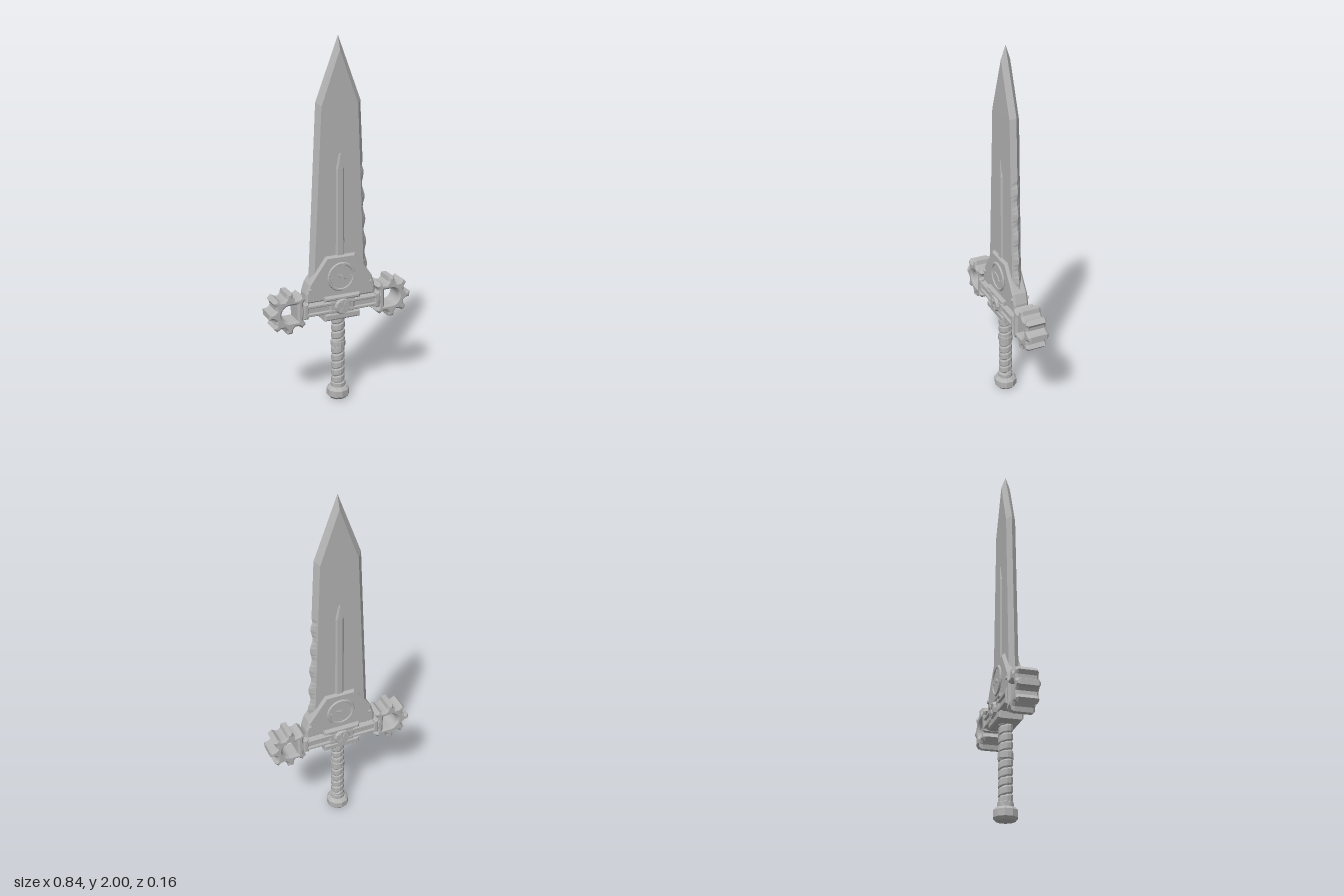
import * as THREE from 'three';

const steel = new THREE.MeshStandardMaterial({ color: 0xb4b4b4 });
steel.name = 'steel grey';
steel.flatShading = true;

function add(parent, name, geometry, x = 0, y = 0, z = 0) {
  const mesh = new THREE.Mesh(geometry, steel);
  mesh.name = name;
  mesh.position.set(x, y, z);
  parent.add(mesh);
  return mesh;
}

// Centred extrusion of a shape with a chamfered rim that keeps the outline size
function slab(shape, depth, chamfer) {
  const g = new THREE.ExtrudeGeometry(shape, {
    depth: depth - 2 * chamfer, bevelEnabled: true, bevelThickness: chamfer,
    bevelSize: chamfer, bevelOffset: -chamfer, bevelSegments: 1, curveSegments: 8,
  });
  return g.translate(0, 0, -depth / 2 + chamfer);
}

function polygon(points) {
  return new THREE.Shape(points.map(([x, y]) => new THREE.Vector2(x, y)));
}

function chamferedBox(w, h, d, c) {
  return slab(polygon([[-w / 2, -h / 2], [w / 2, -h / 2], [w / 2, h / 2], [-w / 2, h / 2]]), d, c);
}

// Bevelled blade body. Each row: edge height, left edge, right edge, flat height, flat left, flat right, flat z
function bladeLoft(rows) {
  const pos = [], index = [];
  for (const [y, L, R, fy, l, r, z] of rows) {
    pos.push(L, y, 0, l, fy, z, r, fy, z, R, y, 0, r, fy, -z, l, fy, -z);
  }
  for (let k = 0; k < rows.length - 1; k++) {
    for (let i = 0; i < 6; i++) {
      const a = k * 6 + i, b = k * 6 + (i + 1) % 6;
      index.push(a, b, b + 6, a, b + 6, a + 6);
    }
  }
  const g = new THREE.BufferGeometry();
  g.setAttribute('position', new THREE.Float32BufferAttribute(pos, 3));
  g.setIndex(index);
  g.computeVertexNormals();
  return g;
}

// Blade with a scalloped lower edge on its left side
function bladeGeometry() {
  const rows = [], steps = 44, bevel = 0.024;
  for (let i = 0; i <= steps; i++) {
    const t = i / steps, y = 0.65 + t * 1.02;
    const half = 0.178 - 0.051 * t;
    const wavy = y > 0.74 && y < 1.33;
    const R = half + (wavy ? 0.007 * Math.cos((y - 0.77) * Math.PI * 2 / 0.128) - 0.003 : 0);
    rows.push([y, -half, R, y - 0.02 * t, -half + bevel, half - bevel - 0.008 * (1 - t), 0.026]);
  }
  rows.push([2, 0, 0, 1.93, 0, 0, 0.025]);
  return bladeLoft(rows);
}

// Eight-toothed wheel with a D-shaped opening; the tooth facing the bar is left out
function gearShape() {
  const pts = [];
  for (let k = 0; k < 8; k++) {
    const mid = k * Math.PI / 4;
    const profile = k === 4
      ? [[-0.2, 0.086], [0.2, 0.086], [0.393, 0.084]]
      : [[-0.21, 0.094], [-0.13, 0.117], [0.13, 0.117], [0.21, 0.094], [0.393, 0.084]];
    for (const [a, r] of profile) pts.push([r * Math.cos(mid + a), r * Math.sin(mid + a)]);
  }
  const shape = polygon(pts);
  const hole = new THREE.Path();
  hole.moveTo(-0.044, -0.046);
  hole.lineTo(-0.044, 0.046);
  hole.lineTo(0, 0.046);
  hole.absarc(0, 0, 0.046, Math.PI / 2, -Math.PI / 2, true);
  hole.closePath();
  shape.holes.push(hole);
  return shape;
}

// Grip with a spiral wrap
function gripGeometry() {
  const h = 0.42, g = new THREE.CylinderGeometry(1, 1, h, 12, 70, true);
  const p = g.attributes.position;
  for (let i = 0; i < p.count; i++) {
    const x = p.getX(i), y = p.getY(i), z = p.getZ(i);
    const turn = y / 0.045 + Math.atan2(z, x) / (Math.PI * 2);
    const u = turn - Math.floor(turn);
    const r = 0.031 + 0.007 * Math.min(1, 2.2 * Math.sin(Math.PI * u));
    p.setXYZ(i, x * r, y, z * r);
  }
  g.computeVertexNormals();
  return g;
}

function lathe(points, sides) {
  return new THREE.LatheGeometry(points.map(([r, y]) => new THREE.Vector2(r, y)), sides);
}

// Details shared by the front and back faces, built for +z
function faceDetails() {
  const face = new THREE.Group();
  const disc = (name, rTop, rBottom, depth, sides, x, y, z) => {
    const g = new THREE.CylinderGeometry(rTop, rBottom, depth, sides).rotateX(Math.PI / 2);
    return add(face, name, g, x, y, z);
  };

  // Compass dial
  add(face, 'dialRing', new THREE.TorusGeometry(0.073, 0.009, 6, 28), 0, 0.73, 0.045);
  disc('dialFace', 0.068, 0.068, 0.006, 28, 0, 0.73, 0.044);
  const needle = slab(polygon([[-0.034, 0], [0, -0.011], [0.034, 0], [0, 0.011]]), 0.007, 0.002);
  add(face, 'needle', needle, 0, 0.73, 0.049).rotation.z = -0.5;
  for (let i = 0; i < 4; i++) {
    const a = i * Math.PI / 2;
    const tick = new THREE.BoxGeometry(0.014, 0.005, 0.006);
    add(face, 'dialTick', tick, 0.058 * Math.cos(a), 0.73 + 0.058 * Math.sin(a), 0.048).rotation.z = a;
  }

  // Rivets and guard rails
  for (const s of [-1, 1]) disc('rivet', 0.009, 0.012, 0.012, 8, s * 0.178, 0.675, 0.045);
  for (const y of [0.542, 0.588]) {
    add(face, 'guardRail', chamferedBox(0.42, 0.018, 0.024, 0.004), 0, y, 0.05);
  }

  // Round boss with crossed bars
  disc('boss', 0.04, 0.052, 0.022, 12, 0, 0.565, 0.063);
  for (const s of [-1, 1]) {
    const bar = add(face, 'crossedBar', new THREE.BoxGeometry(0.011, 0.066, 0.012), 0, 0.565, 0.073);
    bar.rotation.z = s * 0.5;
  }
  return face;
}

export function createModel() {
  const model = new THREE.Group();
  model.name = 'sword';

  // Blade and raised centre rib
  add(model, 'blade', bladeGeometry());
  add(model, 'centreRib', bladeLoft([
    [0.8, -0.055, 0.055, 0.8, -0.016, 0.016, 0.034],
    [1.33, -0.055, 0.055, 1.32, -0.014, 0.014, 0.034],
    [1.44, 0, 0, 1.4, 0, 0, 0.032],
  ]));

  // Trapezoid plate holding the blade
  add(model, 'bladePlate', slab(polygon([
    [-0.207, 0.6], [0.207, 0.6], [0.205, 0.655], [0.187, 0.71],
    [0.085, 0.85], [-0.085, 0.85], [-0.187, 0.71], [-0.205, 0.655],
  ]), 0.086, 0.011));

  // Cross guard
  add(model, 'guardBar', chamferedBox(0.46, 0.075, 0.1, 0.008), 0, 0.565);
  add(model, 'guardCentre', chamferedBox(0.15, 0.12, 0.12, 0.008), 0, 0.562);
  add(model, 'guardUpperBlock', chamferedBox(0.21, 0.026, 0.13, 0.008), 0, 0.615);
  add(model, 'guardLowerBlock', chamferedBox(0.21, 0.04, 0.13, 0.008), 0, 0.511);

  // Gear wheels on both ends
  for (const s of [-1, 1]) {
    add(model, 'guardEnd', chamferedBox(0.03, 0.088, 0.124, 0.008), s * 0.212, 0.565);
    const gear = add(model, 'gearWheel', slab(gearShape(), 0.116, 0.011), s * 0.303, 0.567);
    if (s < 0) gear.rotation.y = Math.PI;
  }

  // Front and back details
  const front = faceDetails();
  front.name = 'frontDetails';
  const back = faceDetails();
  back.name = 'backDetails';
  back.rotation.y = Math.PI;
  model.add(front, back);

  // Grip, its middle ring and the pommel
  add(model, 'grip', gripGeometry(), 0, 0.285);
  add(model, 'gripRing', lathe([[0.03, 0.305], [0.041, 0.313], [0.041, 0.342], [0.03, 0.35]], 12));
  add(model, 'pommel', lathe([
    [0, 0], [0.05, 0], [0.064, 0.016], [0.064, 0.052], [0.05, 0.066],
    [0.042, 0.068], [0.042, 0.09], [0.03, 0.1],
  ], 10));

  return model;
}
